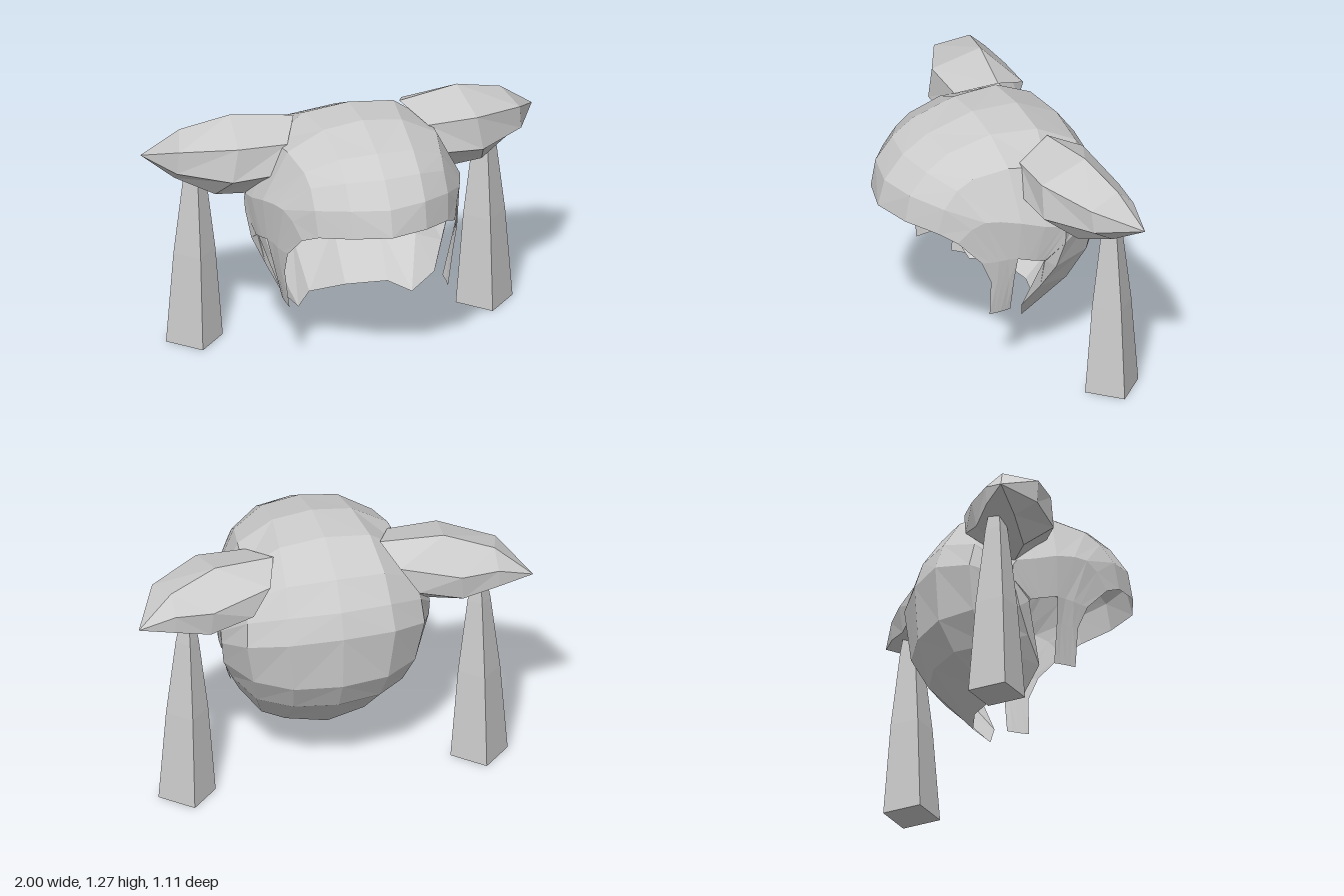
import * as THREE from 'three';

const hair = new THREE.MeshStandardMaterial({ color: 0xcccccc, flatShading: true, side: THREE.DoubleSide });
hair.name = 'light grey hair';

// Faceted skin over rows of [x, y, z] points; side -1 mirrors it across x
function skin(name, rows, side, closed = false) {
  const pos = [];
  const put = (...pts) => {
    if (side < 0) pts.reverse();
    for (const [x, y, z] of pts) pos.push(x * side, y, z);
  };
  for (let i = 0; i < rows.length - 1; i++) {
    const n = rows[i].length;
    for (let j = 0; j < (closed ? n : n - 1); j++) {
      const k = (j + 1) % n;
      const a = rows[i][j], b = rows[i + 1][j], c = rows[i + 1][k], d = rows[i][k];
      put(a, d, c);
      if (b !== c) put(a, c, b);
    }
  }
  const geo = new THREE.BufferGeometry();
  geo.setAttribute('position', new THREE.Float32BufferAttribute(pos, 3));
  geo.computeVertexNormals();
  const mesh = new THREE.Mesh(geo, hair);
  mesh.name = name;
  return mesh;
}

// Cap front, fringe to crown: each row runs from the centre line to the side
const frontRows = [
  [[0, .875, .555], [.19, .87, .5], [.33, .845, .39], [.39, .8, .31], [.43, .68, .2]],
  [[0, 1.01, .52], [.19, 1.01, .475], [.34, .98, .36], [.42, .88, .25], [.445, .68, .16]],
  [[0, 1.13, .42], [.19, 1.12, .385], [.34, 1.07, .29], [.45, .92, .19], [.46, .685, .12]],
  [[0, 1.21, .29], [.19, 1.195, .27], [.35, 1.12, .21], [.475, .92, .12], [.47, .69, .075]],
  [[0, 1.275, .04], [.2, 1.25, .04], [.38, 1.15, .03], [.505, .9, .02], [.485, .69, .03]],
];
// Cap back, crown to nape
const backRows = [
  frontRows[4],
  [[0, 1.26, -.2], [.23, 1.235, -.2], [.4, 1.12, -.17], [.525, .86, -.1], [.495, .675, -.02]],
  [[0, 1.145, -.42], [.25, 1.13, -.4], [.42, 1.03, -.32], [.53, .84, -.19], [.5, .665, -.06]],
  [[0, 1.01, -.515], [.26, 1, -.485], [.44, .94, -.38], [.53, .81, -.21], [.5, .655, -.09]],
  [[0, .88, -.557], [.27, .87, -.53], [.45, .82, -.41], [.525, .74, -.21], [.5, .65, -.11]],
  [[0, .6, -.54], [.24, .6, -.505], [.41, .6, -.38], [.505, .605, -.17], [.495, .645, -.115]],
  [[0, .45, -.46], [.22, .45, -.42], [.37, .44, -.29], [.45, .48, -.11], [.49, .645, -.115]],
  [[0, .235, -.25], [.2, .25, -.2], [.29, .235, -.085], [.39, .355, -.035], [.485, .645, -.115]],
];
// Pointed lock in front of each temple
const sideLock = [
  [[.485, .69, .03], [.47, .69, .075], [.46, .685, .12], [.445, .68, .16], [.43, .68, .2]],
  [[.455, .56, .035], [.45, .56, .06], [.445, .56, .09], [.44, .56, .12], [.43, .56, .15]],
  [[.41, .365, .035], [.41, .364, .06], [.41, .362, .09], [.407, .361, .12], [.405, .36, .145]],
];
// Wing-shaped bun: loops from the head out to the tip, each starting at the top ridge
const tip = [1, 1.01, -.41];
const bun = [
  [[.27, 1.21, -.235], [.36, 1.155, -.04], [.38, 1.01, -.01], [.5, .835, -.2], [.42, 1, -.42], [.33, 1.14, -.4]],
  [[.58, 1.23, -.29], [.61, 1.16, -.04], [.64, .985, -.035], [.68, .852, -.2], [.64, .94, -.43], [.63, 1.07, -.45]],
  [[.82, 1.155, -.35], [.87, 1.115, -.18], [.88, .995, -.19], [.86, .92, -.3], [.82, .98, -.43], [.82, 1.07, -.435]],
  Array(6).fill(tip),
];

// Tapered four-sided tail hanging under each bun
function hangingTail(side) {
  const profile = [[0, 0], [.145, 0], [.107, .48], [.058, .88], [.045, .95], [0, .95]];
  const geo = new THREE.LatheGeometry(profile.map(([r, y]) => new THREE.Vector2(r, y)), 4);
  const mesh = new THREE.Mesh(geo, hair);
  mesh.name = 'hangingTail';
  mesh.position.set(.74 * side, 0, -.355);
  return mesh;
}

export function createModel() {
  const model = new THREE.Group();
  model.name = 'hairpiece';
  for (const side of [1, -1]) {
    const half = new THREE.Group();
    half.name = side > 0 ? 'leftHair' : 'rightHair';
    half.add(
      skin('frontCap', frontRows, side),
      skin('backCap', backRows, side),
      skin('sideLock', sideLock, side),
      skin('bun', bun, side, true),
      hangingTail(side),
    );
    model.add(half);
  }
  return model;
}
